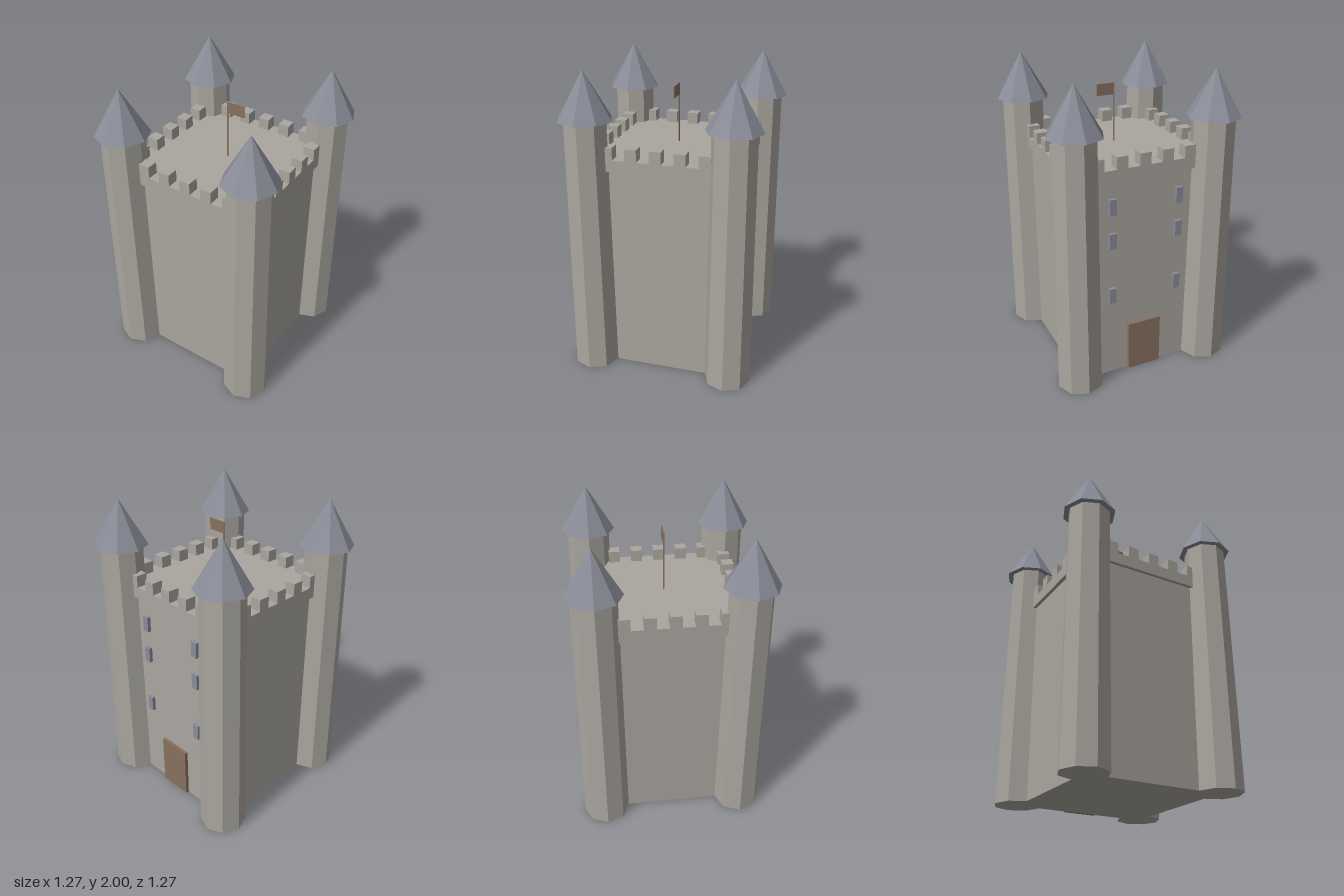
import * as THREE from 'three';

const mat = (name, color) => {
  const m = new THREE.MeshStandardMaterial({ color });
  m.name = name;
  return m;
};

// Split shared corners so every face is shaded flat
function faceted(geometry) {
  const g = geometry.toNonIndexed();
  g.computeVertexNormals();
  return g;
}

export function createModel() {
  const stone = mat('stone', 0xaaa69f);
  const slate = mat('slate', 0x8a8c98);
  const wood = mat('wood', 0x87705f);

  const castle = new THREE.Group();
  castle.name = 'castle';

  const add = (name, geometry, material, x, y, z, parent = castle) => {
    const mesh = new THREE.Mesh(geometry, material);
    mesh.name = name;
    mesh.position.set(x, y, z);
    parent.add(mesh);
    return mesh;
  };

  // Keep and its overhanging parapet slab
  const half = 0.46, edge = 0.484;
  add('keep', new THREE.BoxGeometry(half * 2, 1.385, half * 2), stone, 0, 0.6925, 0);
  add('parapet', new THREE.BoxGeometry(edge * 2, 0.077, edge * 2), stone, 0, 1.4235, 0);

  // Merlons along all four edges, evenly stepped from one corner
  const size = 0.075, step = 0.154;
  const merlonGeo = new THREE.BoxGeometry(size, 0.078, size);
  const merlons = new THREE.Group();
  merlons.name = 'merlons';
  castle.add(merlons);
  const rim = edge - size / 2;
  for (let i = 1; i < 6; i++) {
    const t = -rim + i * step;
    for (const side of [-rim, rim]) {
      add('merlon', merlonGeo, stone, t, 1.501, side, merlons);
      add('merlon', merlonGeo, stone, side, 1.501, t, merlons);
    }
  }

  // Tapered octagonal corner towers with pointed roofs
  const towerGeo = faceted(new THREE.CylinderGeometry(0.138, 0.152, 1.7, 8));
  const roofGeo = faceted(new THREE.ConeGeometry(0.175, 0.3, 8));
  for (const x of [-half, half]) {
    for (const z of [-half, half]) {
      const tower = new THREE.Group();
      tower.name = 'cornerTower';
      tower.position.set(x, 0, z);
      castle.add(tower);
      add('towerShaft', towerGeo, stone, 0, 0.85, 0, tower);
      add('towerRoof', roofGeo, slate, 0, 1.85, 0, tower);
    }
  }

  // Door and two columns of windows on the back wall
  const backZ = -half - 0.011;
  add('door', new THREE.BoxGeometry(0.23, 0.35, 0.024), wood, 0, 0.175, backZ);
  const windowGeo = new THREE.BoxGeometry(0.046, 0.105, 0.024);
  for (const x of [-0.23, 0.23]) {
    for (const y of [0.6, 0.99, 1.22]) add('window', windowGeo, slate, x, y, backZ);
  }

  // Flagpole and flag
  add('flagpole', faceted(new THREE.CylinderGeometry(0.005, 0.005, 0.39, 6)), wood, 0, 1.655, 0);
  add('flag', new THREE.BoxGeometry(0.12, 0.076, 0.006), wood, 0.06, 1.812, 0);

  return castle;
}
